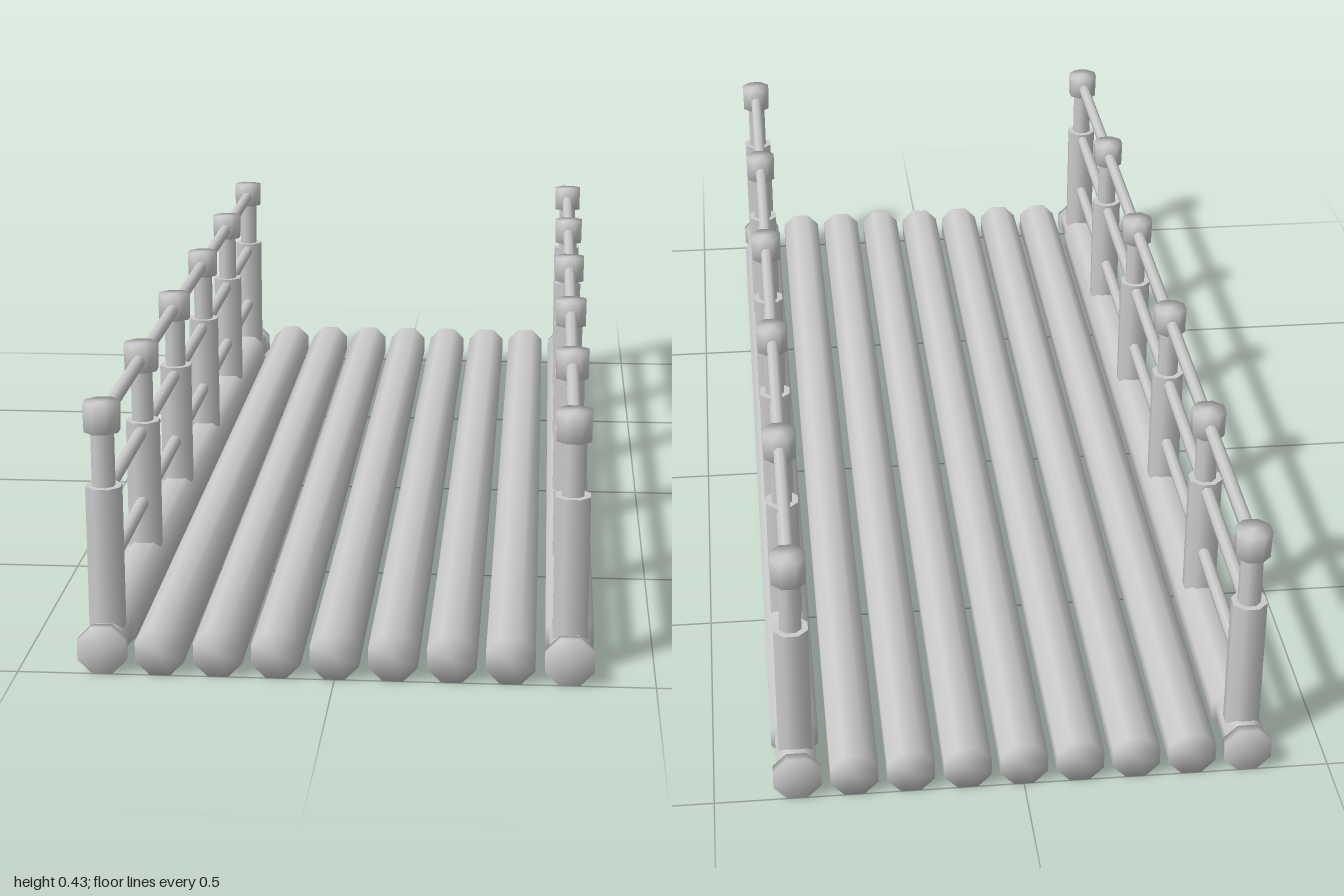
import * as THREE from 'three';
import { mergeVertices } from 'three/addons/utils/BufferGeometryUtils.js';

const material = new THREE.MeshStandardMaterial({ color: 0xcccccc });
const SIDES = 8;
const LOG_R = 0.0385, LOG_Y = 0.0385, SPACING = 0.0915;

// Octagonal rod of given half width across flats; soft = normals blended over the ends
function rodGeometry(halfWidth, length, soft, bottomScale = 1) {
  const r = halfWidth / Math.cos(Math.PI / SIDES);
  let g = new THREE.CylinderGeometry(r, r * bottomScale, length, SIDES);
  g.rotateY(Math.PI / SIDES);
  if (soft) {
    g.deleteAttribute('uv');
    g.deleteAttribute('normal');
    g = mergeVertices(g, 1e-4);
    g.computeVertexNormals();
  }
  return g;
}

function add(parent, name, geometry, x, y, z) {
  const mesh = new THREE.Mesh(geometry, material);
  mesh.name = name;
  mesh.position.set(x, y, z);
  parent.add(mesh);
}

export function createModel() {
  const bridge = new THREE.Group();
  bridge.name = 'logBridge';

  // Deck logs
  const logGeo = rodGeometry(LOG_R, 2, true).rotateX(Math.PI / 2);
  for (let i = -3; i <= 3; i++) add(bridge, 'deckLog', logGeo, i * SPACING, LOG_Y, 0);

  // Shared geometries for the sides
  const edgeGeo = rodGeometry(LOG_R, 1.78, true).rotateX(Math.PI / 2);
  const neckGeo = rodGeometry(0.032, 0.11, false).rotateX(Math.PI / 2);
  const discGeo = rodGeometry(LOG_R, 0.016, true).rotateX(Math.PI / 2);
  const postGeo = rodGeometry(0.0275, 0.24, false);
  const upperGeo = rodGeometry(0.0175, 0.1, false);
  const capGeo = rodGeometry(0.028, 0.047, true, 0.97);
  const railGeo = rodGeometry(0.0105, 1.875, false).rotateX(Math.PI / 2);

  for (const side of [-1, 1]) {
    const railing = new THREE.Group();
    railing.name = side > 0 ? 'leftSide' : 'rightSide';
    railing.position.x = side * SPACING * 4;
    bridge.add(railing);

    // Edge log with a narrower neck and a disc at each end
    add(railing, 'edgeLog', edgeGeo, 0, LOG_Y, 0);
    for (const end of [-1, 1]) {
      add(railing, 'edgeLogNeck', neckGeo, 0, LOG_Y, end * 0.935);
      add(railing, 'edgeLogEnd', discGeo, 0, LOG_Y, end * 0.992);
    }

    // Stepped posts with caps
    for (let i = 0; i < 6; i++) {
      const z = -0.9375 + i * 0.375;
      add(railing, 'post', postGeo, 0, 0.171, z);
      add(railing, 'postTop', upperGeo, 0, 0.335, z);
      add(railing, 'postCap', capGeo, 0, 0.403, z);
    }

    // Three rails
    for (const y of [0.15, 0.275, 0.4]) add(railing, 'rail', railGeo, 0, y, 0);
  }
  return bridge;
}
